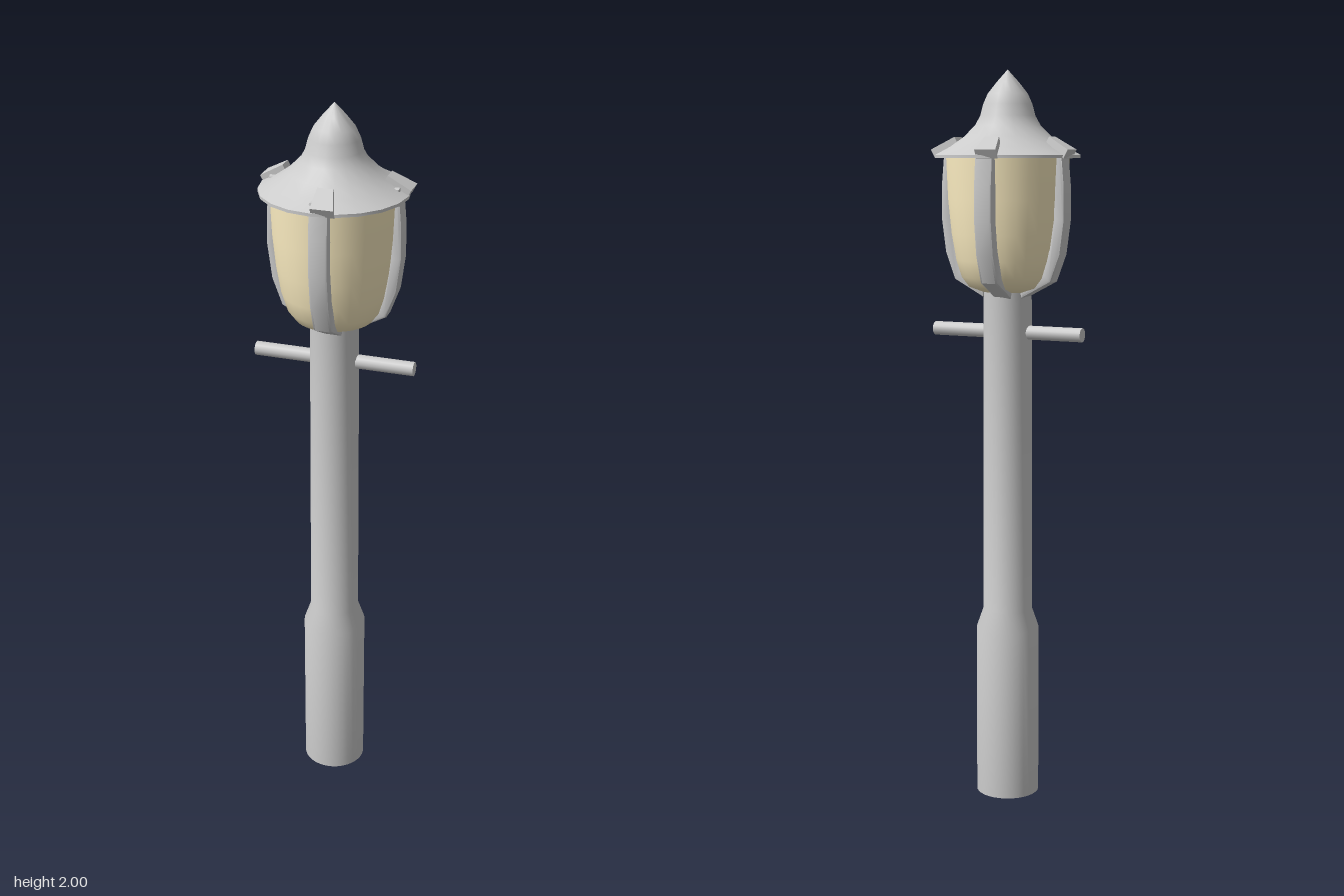
import * as THREE from 'three';
import { toCreasedNormals } from 'three/addons/utils/BufferGeometryUtils.js';

const grey = new THREE.MeshStandardMaterial({ color: 0xcccccc });
const glass = new THREE.MeshStandardMaterial({ color: 0xfff0c4 });

function add(parent, name, geometry, material = grey) {
  const mesh = new THREE.Mesh(geometry, material);
  mesh.name = name;
  parent.add(mesh);
  return mesh;
}

// Profiles run from bottom to top as [radius, height]
function turned(profile, sides) {
  const points = profile.map(([r, y]) => new THREE.Vector2(r, y));
  return toCreasedNormals(new THREE.LatheGeometry(points, sides), 0.6);
}

// Curved strap hugging the lantern, swept sideways with a small bevel
function strapGeometry() {
  const outer = [[0.06, 1.407], [0.137, 1.45], [0.163, 1.52], [0.175, 1.61], [0.174, 1.7], [0.166, 1.79]];
  const inner = [[0.148, 1.79], [0.156, 1.7], [0.157, 1.61], [0.145, 1.53], [0.121, 1.468], [0.06, 1.435]];
  const shape = new THREE.Shape([...outer, ...inner].map(([x, y]) => new THREE.Vector2(x, y)));
  const bevel = 0.007;
  const geometry = new THREE.ExtrudeGeometry(shape, {
    depth: 0.038, bevelEnabled: true, bevelThickness: bevel, bevelSize: bevel, bevelSegments: 2,
  });
  geometry.translate(0, 0, -0.032);
  return toCreasedNormals(geometry, 0.7);
}

// Clip lying on the roof slope, wider at its outer end
function clipGeometry() {
  const geometry = new THREE.BoxGeometry(0.07, 0.026, 1);
  const p = geometry.attributes.position;
  for (let i = 0; i < p.count; i++) {
    const width = p.getX(i) > 0 ? 0.06 : 0.041;
    p.setZ(i, p.getZ(i) > 0 ? 0 : -width);
  }
  geometry.rotateZ(-0.5);
  geometry.translate(0.163, 1.797, 0);
  geometry.computeVertexNormals();
  return geometry;
}

export function createModel() {
  const model = new THREE.Group();
  model.name = 'streetLamp';

  // Post with a thicker foot
  add(model, 'post', turned([
    [0, 0], [0.087, 0], [0.087, 0.475], [0.068, 0.53], [0.065, 1.42], [0, 1.42],
  ], 32));

  // Ladder bar through the post
  const bar = add(model, 'ladderBar', new THREE.CylinderGeometry(0.019, 0.019, 0.44, 16));
  bar.rotation.z = Math.PI / 2;
  bar.position.y = 1.305;

  // Lantern glass
  add(model, 'lanternGlass', turned([
    [0, 1.415], [0.07, 1.415], [0.105, 1.428], [0.125, 1.455], [0.139, 1.5],
    [0.151, 1.57], [0.16, 1.66], [0.165, 1.775],
  ], 32), glass);

  // Flared roof and pointed finial
  add(model, 'roof', turned([
    [0, 1.77], [0.195, 1.77], [0.195, 1.778], [0.155, 1.799], [0.118, 1.825], [0.088, 1.855],
    [0.074, 1.88], [0.066, 1.91], [0.054, 1.937], [0.03, 1.967], [0, 2],
  ], 20));

  // Four straps with roof clips; the left one mirrors the right
  const strap = strapGeometry();
  const clip = clipGeometry();
  const placements = [
    ['right', 0, -1], ['left', 0, 1], ['front', -Math.PI / 2, 1], ['back', Math.PI / 2, 1],
  ];
  for (const [side, turn, mirror] of placements) {
    const bracket = new THREE.Group();
    bracket.name = `${side}Bracket`;
    bracket.rotation.y = turn;
    bracket.scale.x = mirror;
    add(bracket, 'strap', strap);
    add(bracket, 'roofClip', clip);
    model.add(bracket);
  }
  return model;
}
